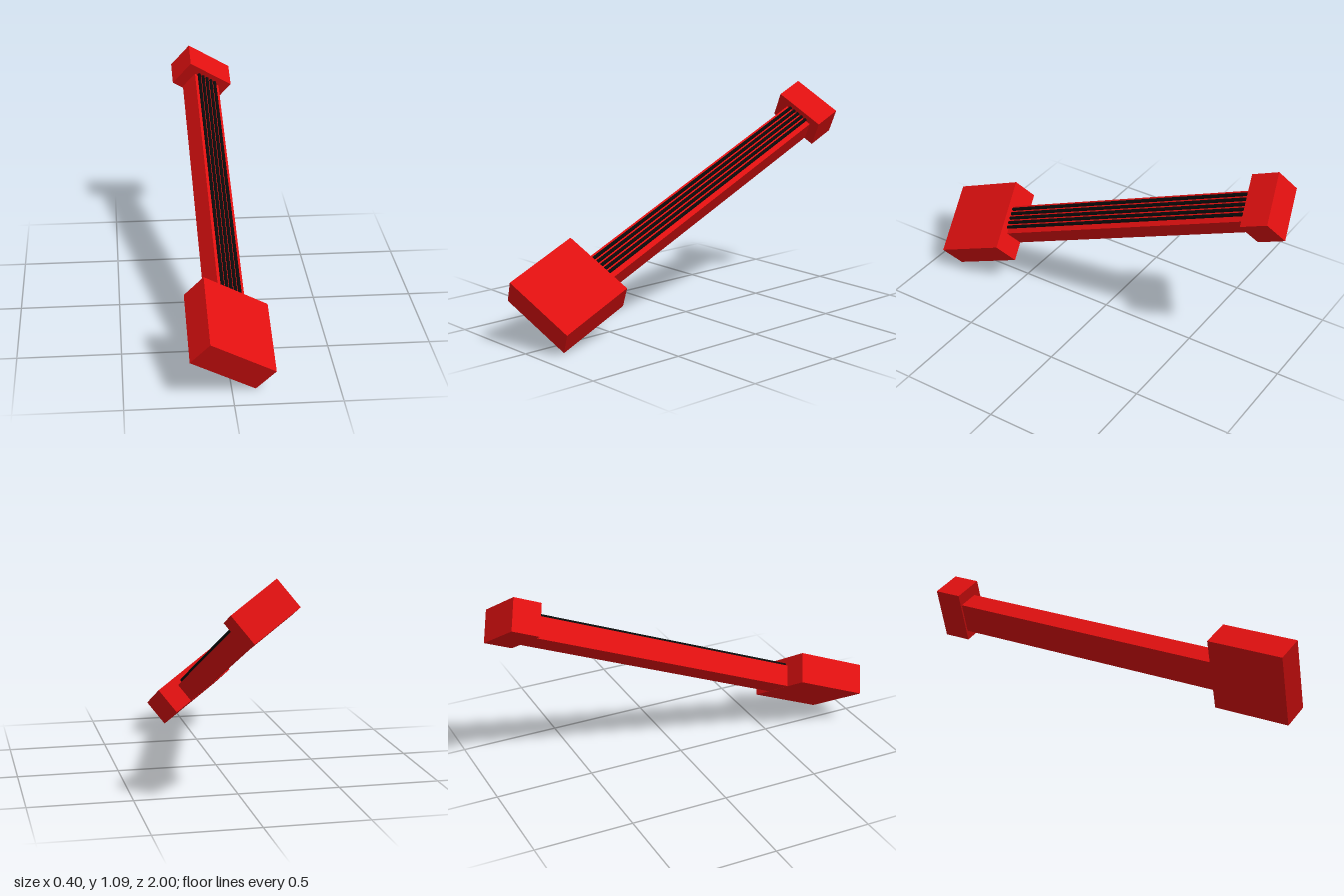
import * as THREE from 'three';

const red = new THREE.MeshStandardMaterial({ color: 0xe01010 });
const black = new THREE.MeshStandardMaterial({ color: 0x0a0a0a });

// Box given by its extents along the tilted instrument's own axes
function box(name, [x0, x1], [y0, y1], [z0, z1]) {
  const mesh = new THREE.Mesh(new THREE.BoxGeometry(x1 - x0, y1 - y0, z1 - z0), red);
  mesh.position.set((x0 + x1) / 2, (y0 + y1) / 2, (z0 + z1) / 2);
  mesh.name = name;
  return mesh;
}

export function createModel() {
  const model = new THREE.Group();
  model.name = 'stringedInstrument';

  // Whole instrument leans back and rolls to one side
  const instrument = new THREE.Group();
  instrument.name = 'instrument';
  const zAxis = new THREE.Vector3(0.01, -0.394, 0.919).normalize();
  const yAxis = new THREE.Vector3().crossVectors(zAxis, new THREE.Vector3(0.814, -0.533, -0.236)).normalize();
  const xAxis = new THREE.Vector3().crossVectors(yAxis, zAxis);
  instrument.quaternion.setFromRotationMatrix(new THREE.Matrix4().makeBasis(xAxis, yAxis, zAxis));
  model.add(instrument);

  // Body, neck and head blocks, flush along the underside
  instrument.add(
    box('body', [-0.496, -0.115], [0.338, 0.492], [0.4, 0.792]),
    box('neck', [-0.376, -0.217], [0.339, 0.448], [-1.1, 0.403]),
    box('head', [-0.437, -0.167], [0.33, 0.492], [-1.244, -1.097]),
  );

  // Five strings along the top of the neck
  for (let i = 0; i < 5; i++) {
    const string = new THREE.Mesh(new THREE.CylinderGeometry(0.0085, 0.0085, 1.5, 12), black);
    string.rotation.x = Math.PI / 2;
    string.position.set(-0.354 + i * 0.026, 0.456, -0.349);
    string.name = 'string' + (i + 1);
    instrument.add(string);
  }
  return model;
}
